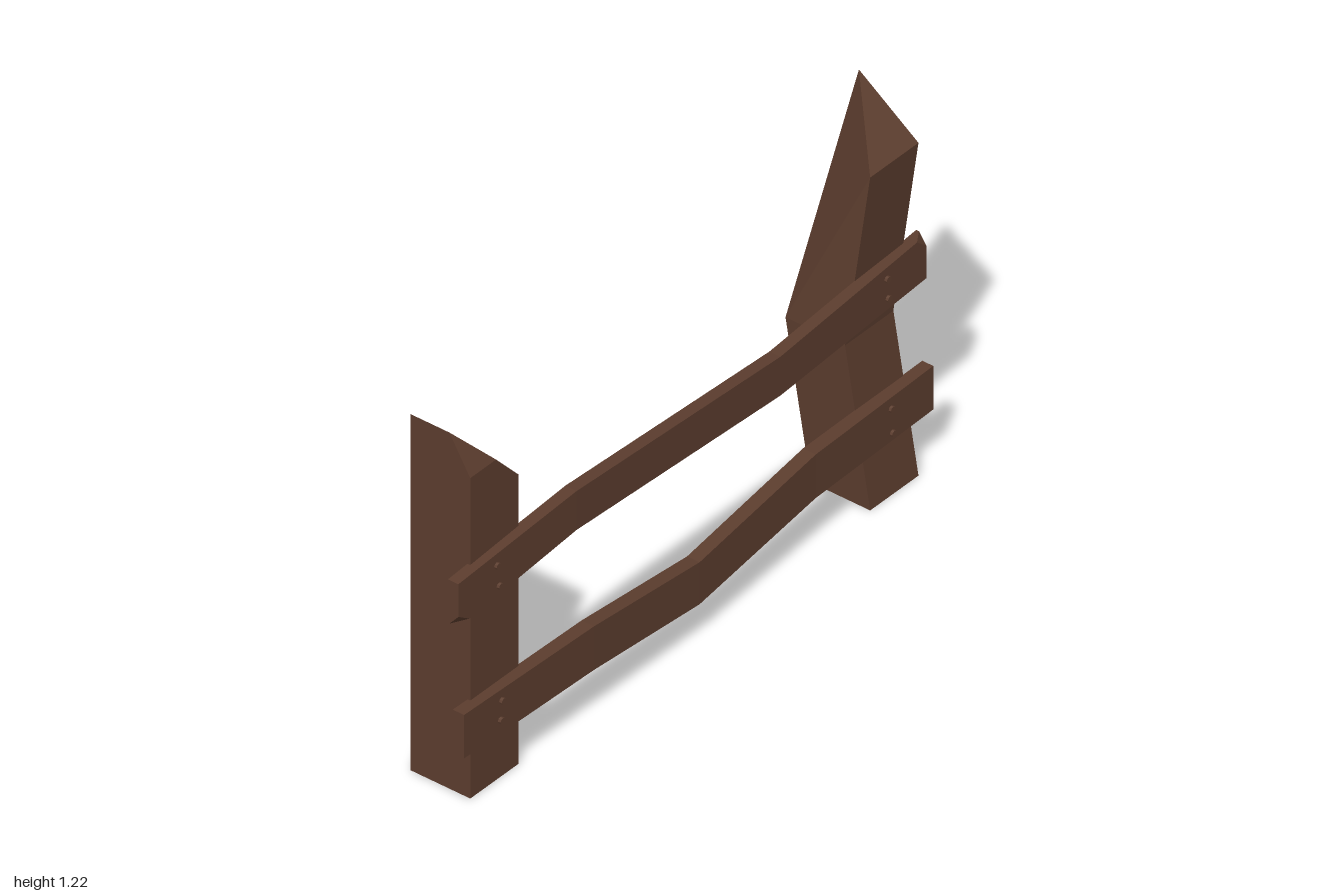
import * as THREE from 'three';

const V = (p) => new THREE.Vector3(...p);

// Closed faces around a row of four-cornered cross-sections
function loft(sections) {
  const s = sections.map((sec) => sec.map(V));
  const faces = [[...s[0]].reverse(), [...s[s.length - 1]]];
  for (let i = 0; i < s.length - 1; i++) {
    for (let j = 0; j < 4; j++) {
      const k = (j + 1) % 4;
      faces.push([s[i][j], s[i][k], s[i + 1][k], s[i + 1][j]]);
    }
  }
  return faces;
}

// Splinter off one corner; cut gives the distance along edges running mostly in x, y and z
function chipCorner(faces, corner, cut) {
  const c = V(corner);
  const cap = [];
  const along = (to) => {
    const e = to.clone().sub(c);
    const size = e.toArray().map(Math.abs);
    const axis = size.indexOf(Math.max(...size));
    const p = c.clone().addScaledVector(e, cut[axis] / size[axis]);
    if (!cap.some((q) => q.distanceTo(p) < 1e-6)) cap.push(p);
    return p;
  };
  const result = faces.map((f) => f.flatMap((p, i) =>
    p.equals(c) ? [along(f[(i + f.length - 1) % f.length]), along(f[(i + 1) % f.length])] : [p]));
  const n = cap[1].clone().sub(cap[0]).cross(cap[2].clone().sub(cap[0]));
  if (n.dot(c.clone().sub(cap[0])) < 0) cap.reverse();
  return [...result, cap];
}

// Flat-faced geometry from convex polygons
function solid(faces) {
  const pos = [];
  for (const f of faces) {
    for (let i = 1; i < f.length - 1; i++) {
      const tri = new THREE.Triangle(f[0], f[i], f[i + 1]);
      if (tri.getArea() < 1e-8) continue;
      for (const p of [tri.a, tri.b, tri.c]) pos.push(p.x, p.y, p.z);
    }
  }
  const g = new THREE.BufferGeometry();
  g.setAttribute('position', new THREE.Float32BufferAttribute(pos, 3));
  g.computeVertexNormals();
  return g;
}

// Square post section: front-left, front-right, back-right, back-left as seen from the front
const postSection = (x, z, [a, b, c, d]) => [
  [x, a, z + 0.2], [x + 0.2, b, z + 0.2], [x + 0.2, c, z], [x, d, z],
];

// Plank section: top back, top front, bottom front, bottom back
const railSection = ([x, top, bottom, back, front]) => [
  [x, top, back], [x, top, front], [x, bottom, front], [x, bottom, back],
];

export function createModel() {
  const model = new THREE.Group();
  const wood = new THREE.MeshStandardMaterial({ color: 0x5c3d2e });
  wood.name = 'darkWood';

  const add = (name, geometry) => {
    const mesh = new THREE.Mesh(geometry, wood);
    mesh.name = name;
    model.add(mesh);
    return mesh;
  };

  // Straight post with a slanted top and a chipped front corner
  const straight = loft([
    postSection(-0.92, -0.09, [0, 0, 0, 0]),
    postSection(-0.92, -0.09, [1.145, 0.93, 0.93, 1.145]),
  ]);
  add('straightPost', solid(chipCorner(straight, [-0.92, 1.145, -0.09 + 0.2], [0.07, 0.115, 0.07])));

  // Bent post; its back edge is split away up to a single peak
  const top = postSection(0.735, -0.09, [1.07, 1.07, 1.215, 1.215]);
  top[3] = top[2];
  add('bentPost', solid(loft([
    postSection(0.735, -0.09, [0, 0, 0, 0]),
    postSection(0.705, -0.15, [0.52, 0.52, 0.52, 0.52]),
    top,
  ])));

  // Upper rail with a chip at each end
  let upper = loft([
    [-1, 0.745, 0.605, 0.1, 0.135],
    [-0.52, 0.78, 0.655, 0.105, 0.143],
    [0.355, 0.71, 0.585, 0.08, 0.117],
    [0.98, 0.745, 0.605, 0.066, 0.1],
  ].map(railSection));
  upper = chipCorner(upper, [-1, 0.605, 0.135], [0.045, 0.035, 0.03]);
  upper = chipCorner(upper, [0.98, 0.745, 0.1], [0.04, 0.035, 0.025]);
  add('upperRail', solid(upper));

  // Lower rail, sagging in the middle
  add('lowerRail', solid(loft([
    [-0.98, 0.315, 0.175, 0.1, 0.138],
    [-0.46, 0.315, 0.175, 0.11, 0.152],
    [-0.01, 0.265, 0.13, 0.1, 0.142],
    [0.5, 0.315, 0.175, 0.075, 0.118],
    [1, 0.315, 0.175, 0.07, 0.107],
  ].map(railSection))));

  // Nail heads, two at each joint
  const head = new THREE.CylinderGeometry(0.01, 0.01, 0.016, 8).rotateX(Math.PI / 2).toNonIndexed();
  head.computeVertexNormals();
  [
    [-0.845, 0.72, 0.138], [-0.835, 0.65, 0.138],
    [-0.83, 0.28, 0.143], [-0.835, 0.22, 0.143],
    [0.81, 0.7, 0.105], [0.815, 0.635, 0.105],
    [0.82, 0.28, 0.111], [0.825, 0.2, 0.111],
  ].forEach((p) => add('nailHead', head).position.set(...p));

  return model;
}
